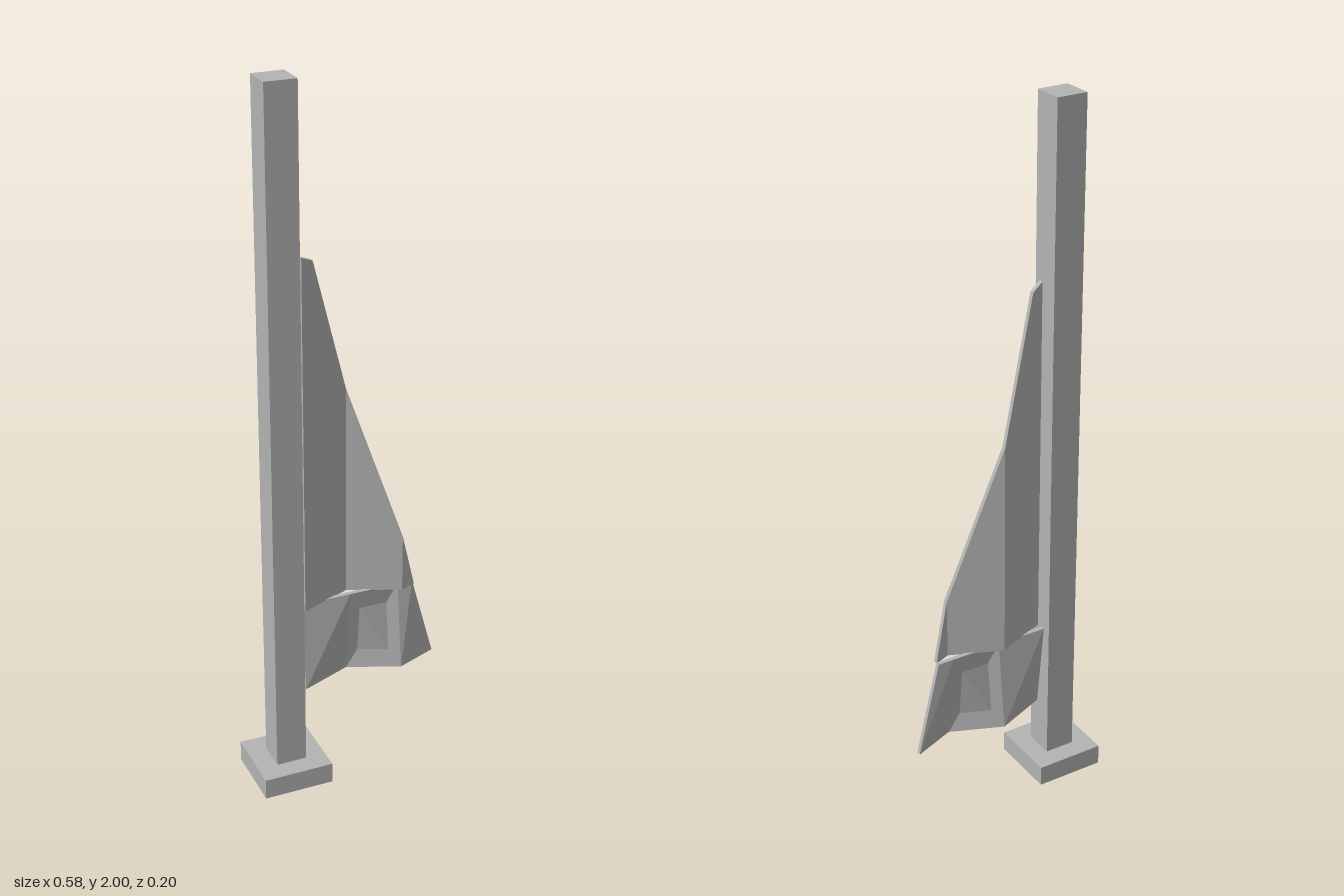
import * as THREE from 'three';

const THICK = 0.013;

// Thin folded cloth from vertical ribs: each rib is [bottom xyz, top xyz] of the front face.
function clothPanel(ribs) {
  const pos = [];
  const back = (p) => [p[0], p[1], p[2] - THICK];
  const tri = (a, b, c) => pos.push(...a, ...b, ...c);
  const quad = (a, b, c, d) => { tri(a, b, c); tri(a, c, d); };
  for (let i = 0; i < ribs.length - 1; i++) {
    const [b0, t0] = ribs[i], [b1, t1] = ribs[i + 1];
    quad(b0, b1, t1, t0);                               // front
    quad(back(b1), back(b0), back(t0), back(t1));       // back, folded the other way
    quad(t0, t1, back(t1), back(t0));                   // top edge
    quad(b1, b0, back(b0), back(b1));                   // bottom edge
  }
  const [bl, tl] = ribs[0], [br, tr] = ribs[ribs.length - 1];
  quad(back(bl), bl, tl, back(tl));                     // pole-side edge
  quad(br, back(br), back(tr), tr);                     // free edge
  const g = new THREE.BufferGeometry();
  g.setAttribute('position', new THREE.Float32BufferAttribute(pos, 3));
  g.computeVertexNormals();
  return g;
}

export function createModel() {
  const group = new THREE.Group();
  const grey = new THREE.MeshStandardMaterial({ color: 0xb3b3b3 });
  grey.name = 'grey';
  const clothGrey = grey;
  clothGrey.side = THREE.DoubleSide;

  const add = (name, geometry, x = 0, y = 0, z = 0) => {
    const mesh = new THREE.Mesh(geometry, grey);
    mesh.name = name;
    mesh.position.set(x, y, z);
    group.add(mesh);
  };

  // Foot and pole
  add('base', new THREE.BoxGeometry(0.2, 0.06, 0.2), -0.193, 0.03, 0);
  add('pole', new THREE.BoxGeometry(0.087, 1.94, 0.087), -0.193, 1.03, 0);

  // Upper cloth: zigzag folds with a sloping outer edge; [x, top y, z]
  const upper = [
    [-0.122, 1.527, -0.017], [-0.085, 1.51, -0.032], [0.025, 1.12, -0.077],
    [0.17, 0.67, -0.017], [0.215, 0.5, -0.035],
  ];
  add('upperCloth', clothPanel(upper.map(([x, y, z]) => [[x, 0.5, z], [x, y, z]])));

  // Lower cloth: straight at the top, folded at the hem; [hem x, hem z, top x]
  const lower = [
    [-0.122, -0.017, -0.122], [0.025, -0.077, 0.025],
    [0.17, -0.017, 0.17], [0.29, -0.065, 0.215],
  ];
  add('lowerCloth', clothPanel(lower.map(([x, z, tx]) => [[x, 0.245, z], [tx, 0.503, -0.047]])));

  return group;
}
